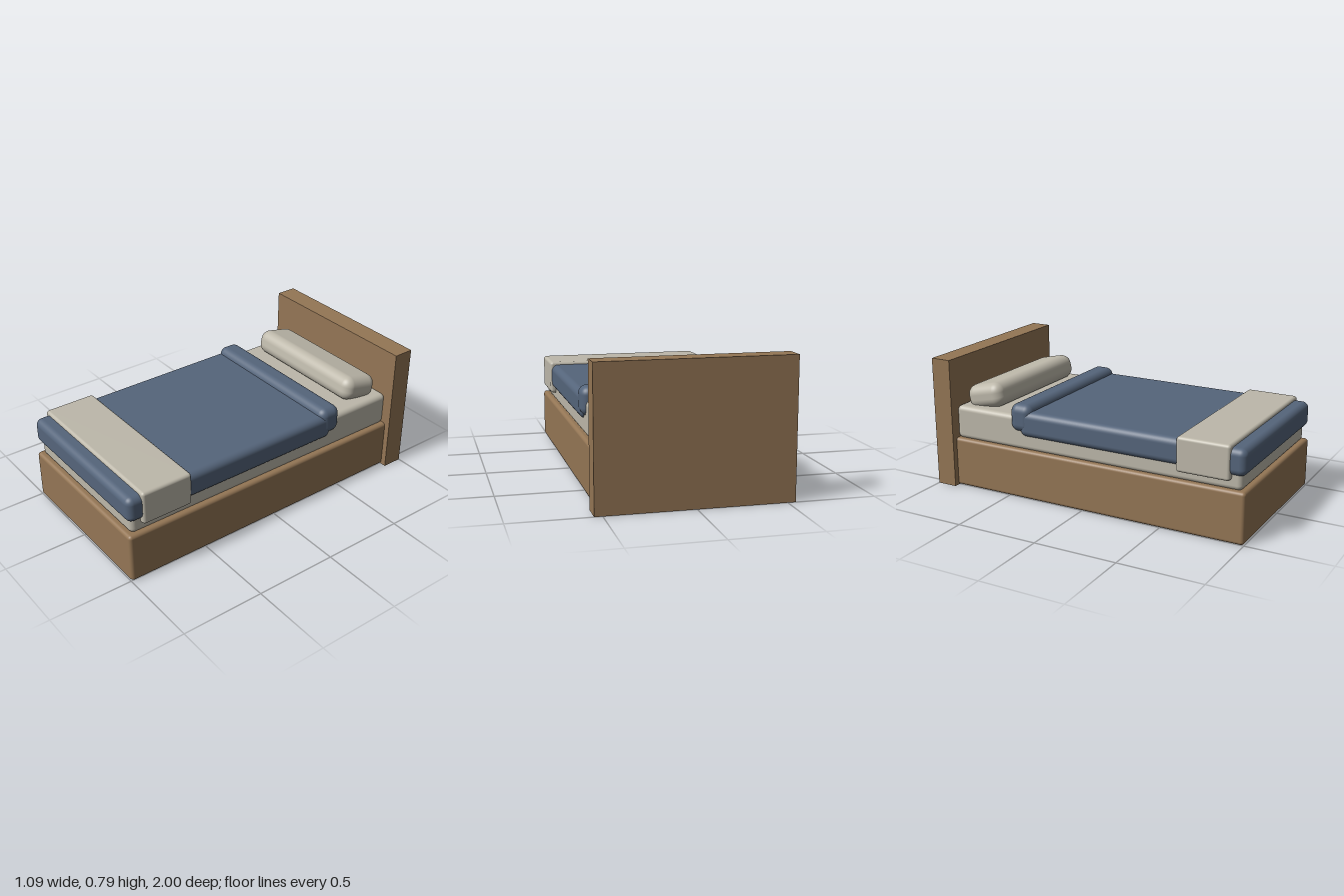
import * as THREE from 'three';
import { RoundedBoxGeometry } from 'three/addons/geometries/RoundedBoxGeometry.js';

export function createModel() {
  const bed = new THREE.Group();
  bed.name = 'bed';

  const material = (name, color) => {
    const m = new THREE.MeshStandardMaterial({ color });
    m.name = name;
    return m;
  };
  const wood = material('wood', 0x947655);
  const linen = material('linen', 0xbdb8aa);
  const blue = material('blueFabric', 0x55657b);

  // Box centred on x = 0 between the given y and z limits, with rounded edges
  const slab = (name, mat, width, [y0, y1], [z0, z1], radius) => {
    const size = [width, y1 - y0, z1 - z0];
    const geometry = radius
      ? new RoundedBoxGeometry(...size, 5, radius)
      : new THREE.BoxGeometry(...size);
    const mesh = new THREE.Mesh(geometry, mat);
    mesh.name = name;
    mesh.position.set(0, (y0 + y1) / 2, (z0 + z1) / 2);
    bed.add(mesh);
    return mesh;
  };

  // Wooden frame
  slab('headboard', wood, 1.09, [0, 0.793], [-1, -0.875]);
  slab('base', wood, 1.02, [0, 0.302], [-0.9, 1], 0.02);

  // Bedding
  slab('mattress', linen, 0.97, [0.295, 0.5], [-0.885, 0.972], 0.03);
  slab('duvet', blue, 1.018, [0.383, 0.537], [-0.42, 0.997], 0.04);
  slab('duvetFold', blue, 1.022, [0.407, 0.575], [-0.485, -0.342], 0.048);
  slab('footThrow', linen, 1.036, [0.353, 0.555], [0.597, 0.912], 0.018);

  // Pillow tilts down toward the headboard and sinks into the mattress
  const pillow = slab('pillow', linen, 0.855, [0.481, 0.631], [-0.855, -0.603], 0.06);
  pillow.rotation.x = -0.22;

  return bed;
}
